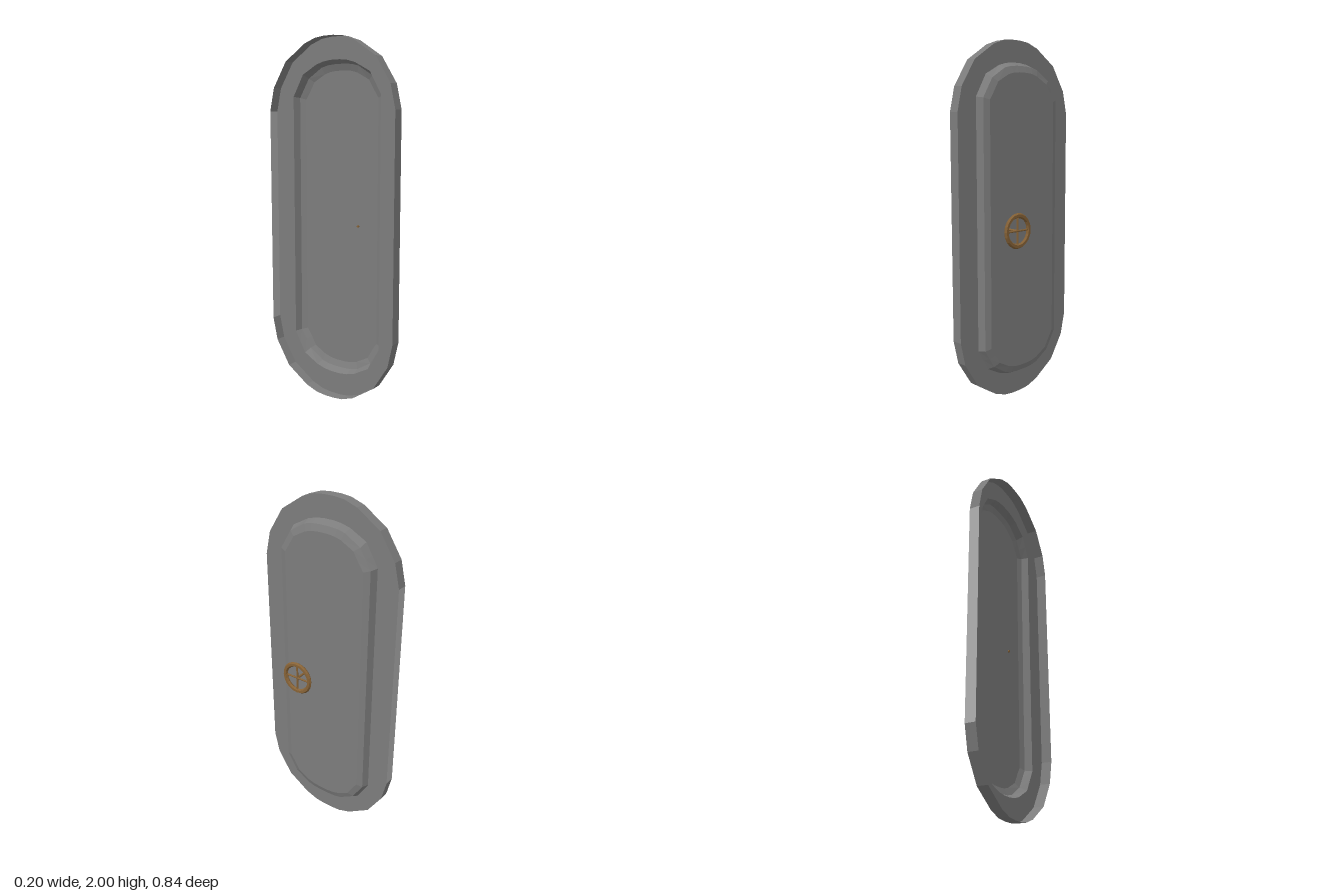
import * as THREE from 'three';

const grey = (name, color) => new THREE.MeshStandardMaterial({ name, color, side: THREE.DoubleSide, flatShading: true });
const steel = grey('steel grey', 0x7c7c7c);
const paleSteel = grey('pale steel', 0xb0b0b0);
const brass = new THREE.MeshStandardMaterial({ name: 'aged brass', color: 0x866236, flatShading: true });

// Closed loop at depth x: one quarter of [z, y] points, mirrored in z and about height mid
function loop(x, mid, quarter) {
  const p = (z, y) => new THREE.Vector3(x, y, z);
  const top = [
    ...quarter.map(([z, y]) => p(-z, y)),
    ...[...quarter].reverse().map(([z, y]) => p(z, y)),
  ];
  return [...top, ...[...top].reverse().map((v) => p(v.z, 2 * mid - v.y))];
}

// Faceted skin across successive loops, optionally closed by a fan
function skin(loops, cap) {
  const tri = [];
  for (let k = 0; k < loops.length - 1; k++) {
    const a = loops[k], b = loops[k + 1];
    a.forEach((v, i) => {
      const j = (i + 1) % a.length;
      tri.push(v, a[j], b[j], v, b[j], b[i]);
    });
  }
  if (cap) {
    const end = loops[loops.length - 1];
    const centre = new THREE.Vector3(end[0].x, 1, 0);
    end.forEach((v, i) => tri.push(v, end[(i + 1) % end.length], centre));
  }
  const geometry = new THREE.BufferGeometry().setFromPoints(tri);
  geometry.computeVertexNormals();
  return geometry;
}

export function createModel() {
  const model = new THREE.Group();
  model.name = 'hatchDoor';
  const add = (name, geometry, material, parent = model) => {
    const mesh = new THREE.Mesh(geometry, material);
    mesh.name = name;
    parent.add(mesh);
  };

  const outer = [[0.42, 1.61], [0.39, 1.74], [0.30, 1.88], [0.165, 1.968], [0.09, 1.994], [0.03, 2.0]];
  const rim = [[0.295, 1.69], [0.26, 1.75], [0.225, 1.81], [0.13, 1.86], [0.08, 1.874], [0.03, 1.88]];
  const shoulder = [[0.28, 1.685], [0.248, 1.737], [0.215, 1.79], [0.125, 1.845], [0.08, 1.856], [0.03, 1.86]];
  const face = [[0.245, 1.675], [0.215, 1.72], [0.185, 1.77], [0.11, 1.81], [0.07, 1.821], [0.03, 1.825]];
  const frontLoop = loop(-0.04, 1, outer);
  const rimLoop = loop(-0.04, 1.003, rim);

  // Outer wall of the frame: its last facet is the pale straight edge at -z
  const wall = skin([loop(-0.1, 1, outer), frontLoop]);
  const paleStart = 6 * (frontLoop.length - 1);
  wall.addGroup(0, paleStart, 0);
  wall.addGroup(paleStart, 6, 1);
  add('frameWall', wall, [steel, paleSteel]);

  // Front ring of the frame, and the raised bevelled panel
  add('frameFront', skin([frontLoop, rimLoop]), steel);
  add('doorPanel', skin([rimLoop, loop(0, 1.003, shoulder), loop(0.013, 1.003, face)], true), steel);

  // Hand wheel on its shaft
  const wheel = new THREE.Group();
  wheel.name = 'handWheel';
  wheel.position.set(0.09, 0.98, 0.12);
  model.add(wheel);
  const ring = new THREE.TorusGeometry(0.084, 0.014, 6, 20).rotateY(Math.PI / 2).scale(0.83, 1, 1);
  add('wheelRim', ring, brass, wheel);
  for (let i = 0; i < 2; i++) {
    const spoke = new THREE.CylinderGeometry(0.0055, 0.0055, 0.16, 8).rotateX((i * Math.PI) / 2);
    add('wheelSpoke', spoke, brass, wheel);
  }
  const shaft = new THREE.CylinderGeometry(0.0065, 0.0065, 0.085, 8).rotateZ(Math.PI / 2).translate(-0.0425, 0, 0);
  add('wheelShaft', shaft, brass, wheel);

  return model;
}
